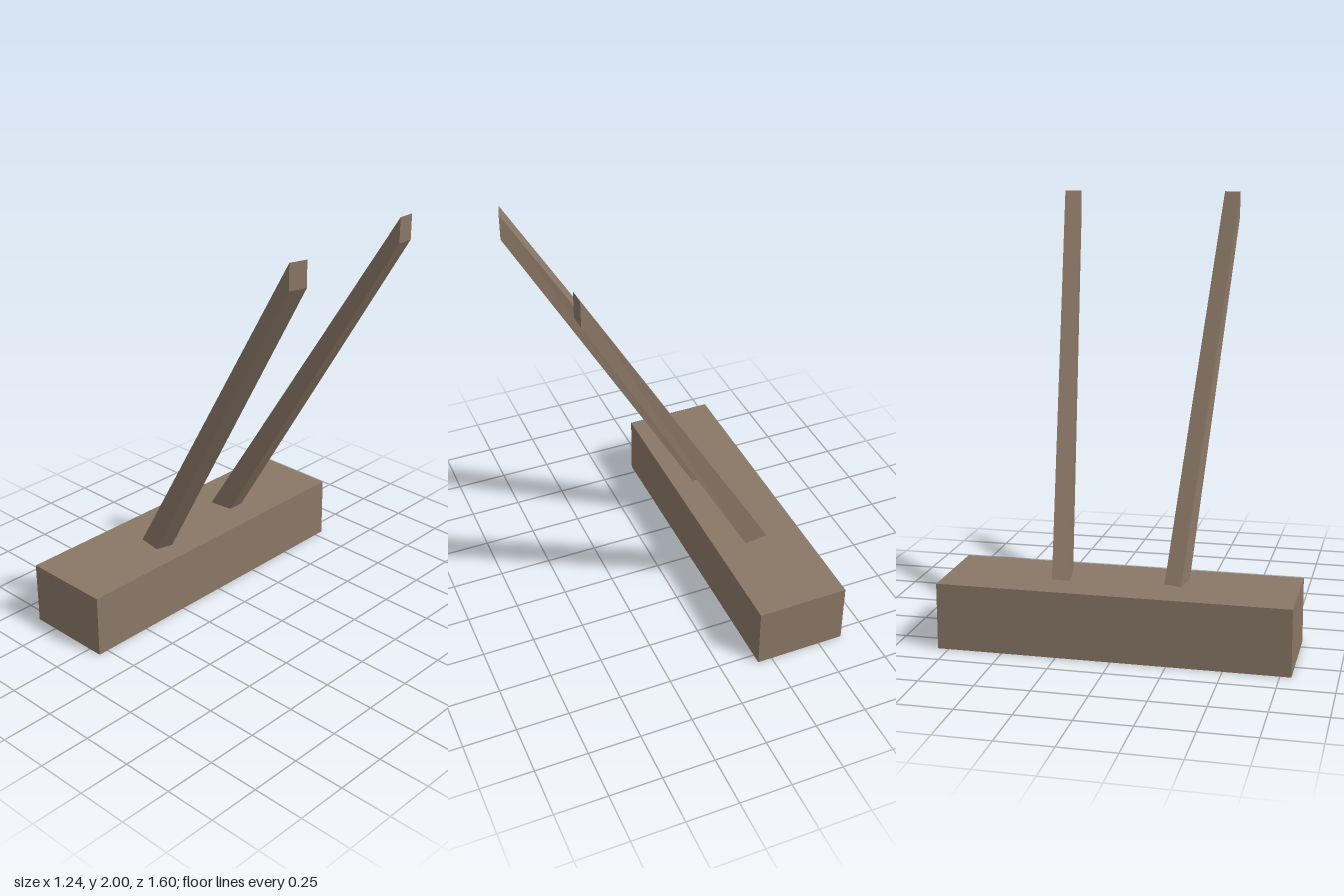
import * as THREE from 'three';

// Beam from a box: corners blend between a foot on the block and an upright cut end.
// Each edge is [foot, head]; "offset" is the shift from the front (+z) side to the back side.
function beamGeometry(upper, lower, offset) {
  const geo = new THREE.BoxGeometry(1, 1, 1);
  const pos = geo.attributes.position;
  for (let i = 0; i < pos.count; i++) {
    const edge = pos.getX(i) < 0 ? upper : lower;
    const p = new THREE.Vector3(...edge[pos.getY(i) < 0 ? 0 : 1]);
    if (pos.getZ(i) < 0) p.add(offset);
    pos.setXYZ(i, p.x, p.y, p.z);
  }
  const flat = geo.toNonIndexed();
  flat.computeVertexNormals();
  return flat;
}

export function createModel() {
  const group = new THREE.Group();
  const wood = new THREE.MeshStandardMaterial({ color: 0x8a7766 });
  wood.name = 'weathered wood';
  wood.flatShading = true;

  const add = (name, geo) => {
    const mesh = new THREE.Mesh(geo, wood);
    mesh.name = name;
    group.add(mesh);
    return mesh;
  };

  // Heavy base block
  const H = 0.305;
  add('baseBlock', new THREE.BoxGeometry(0.44, H, 1.6)).position.set(-0.4, H / 2, 0);

  // Front leaning beam, twisted slightly
  add('frontBeam', beamGeometry(
    [[-0.43, H, 0.28], [0.59, 2, 0.37]],
    [[-0.31, H, 0.298], [0.59, 1.88, 0.37]],
    new THREE.Vector3(0.025, 0, -0.08)
  ));

  // Back leaning beam, splayed further outwards
  add('backBeam', beamGeometry(
    [[-0.45, H, -0.228], [0.535, 2, -0.419]],
    [[-0.33, H, -0.243], [0.535, 1.88, -0.419]],
    new THREE.Vector3(0, 0, -0.082)
  ));

  return group;
}
